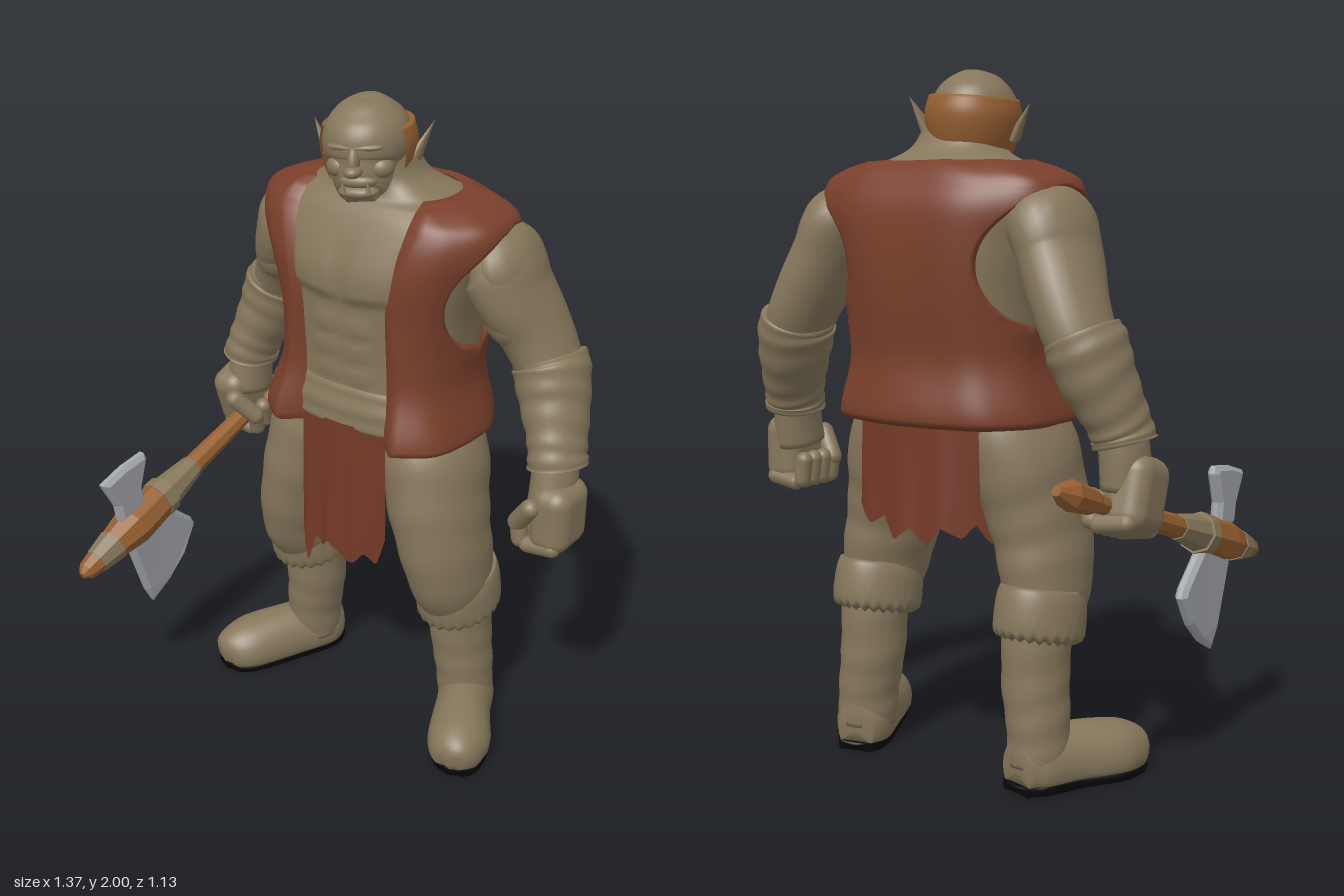
import * as THREE from 'three';
import { mergeGeometries, mergeVertices } from 'three/addons/utils/BufferGeometryUtils.js';
import { RoundedBoxGeometry } from 'three/addons/geometries/RoundedBoxGeometry.js';

const mat = (name, color, side = THREE.FrontSide) => {
  const m = new THREE.MeshStandardMaterial({ color, side });
  m.name = name;
  return m;
};
const skin = mat('skin', 0x86775b);
const leather = mat('red leather', 0x7a402b, THREE.DoubleSide);
const cloth = mat('dark red cloth', 0x743926, THREE.DoubleSide);
const tan = mat('orange brown', 0x966031, THREE.DoubleSide);
const steel = mat('steel', 0xa3a6aa);
const black = mat('black sole', 0x080808);

const V = (x, y, z) => new THREE.Vector3(x, y, z);
const smooth = THREE.MathUtils.smoothstep;

function add(parent, name, geo, material, pos = [0, 0, 0], rot = [0, 0, 0], scale = [1, 1, 1]) {
  const m = new THREE.Mesh(geo, material);
  m.name = name;
  m.position.set(...pos);
  m.rotation.set(...rot);
  m.scale.set(...scale);
  parent.add(m);
  return m;
}
const ball = new THREE.SphereGeometry(1, 24, 16);
const blob = (p, name, pos, scale, rot) => add(p, name, ball, skin, pos, rot, scale);
const group = (parent, name) => {
  const g = new THREE.Group();
  g.name = name;
  parent.add(g);
  return g;
};

// Surface from fn(v, u, row, column), welded at its seams
function grid(fn, rows, cols) {
  const pos = [], idx = [], w = cols + 1;
  for (let j = 0; j <= rows; j++)
    for (let i = 0; i <= cols; i++) pos.push(...fn(j / rows, i / cols, j, i).toArray());
  for (let j = 0; j < rows; j++)
    for (let i = 0; i < cols; i++) {
      const a = j * w + i;
      idx.push(a, a + 1, a + w + 1, a, a + w + 1, a + w);
    }
  let g = new THREE.BufferGeometry();
  g.setAttribute('position', new THREE.Float32BufferAttribute(pos, 3));
  g.setIndex(idx);
  g = mergeVertices(g, 1e-5);
  g.computeVertexNormals();
  return g;
}

const curve = (pts) => new THREE.CatmullRomCurve3(pts, false, 'catmullrom', 0.5);

// Rounded limb through sections [x, y, z, side radius, front radius]; arc limits it to part of the turn
function loft(secs, { ref = V(0, 0, 1), rows = 30, cols = 28, wave = 0, freq = 0, arc = [0, Math.PI * 2], warp } = {}) {
  const path = curve(secs.map((s) => V(s[0], s[1], s[2])));
  const rad = curve(secs.map((s) => V(s[3], s[4], 0)));
  return grid((v, u, j) => {
    const t = THREE.MathUtils.clamp((j - 1) / (rows - 2), 0, 1);
    const along = path.getTangent(t), r = rad.getPoint(t);
    const s = ref.clone().cross(along).normalize(), f = along.clone().cross(s);
    const k = j === 0 || j === rows ? 0 : 1, a = arc[0] + u * arc[1];
    const b = wave * Math.sin(freq * t + 1.5 * Math.sin(a));
    const p = path.getPoint(t).addScaledVector(s, k * (r.x + b) * Math.cos(a))
      .addScaledVector(f, k * (r.y + b) * Math.sin(a));
    if (warp) warp(p, a);
    return p;
  }, rows, cols);
}

// Torso rings: y, centre z, half width, half depth
const rings = [
  [0.90, -0.15, 0.19, 0.14], [0.98, -0.16, 0.27, 0.18], [1.05, -0.17, 0.285, 0.212],
  [1.20, -0.18, 0.275, 0.21], [1.38, -0.185, 0.29, 0.225], [1.52, -0.185, 0.33, 0.23],
  [1.62, -0.19, 0.37, 0.218], [1.685, -0.19, 0.365, 0.19], [1.72, -0.19, 0.30, 0.165],
  [1.745, -0.185, 0.215, 0.138], [1.79, -0.16, 0.13, 0.11], [1.88, -0.13, 0.095, 0.09]];
const mid = curve(rings.map((r) => V(0, r[0], r[1])));
const half = curve(rings.map((r) => V(r[2], 0, r[3])));
const bulge = (v) => Math.sign(v) * Math.abs(v) ** 0.8;
function torsoPoint(t, a, off = 0) {
  const c = mid.getPoint(t), h = half.getPoint(t);
  return V((h.x + off) * bulge(Math.sin(a)),
    c.y + 0.3 * off * smooth(c.y, 1.6, 1.74), c.z + (h.z + off) * bulge(Math.cos(a)));
}
// Chest and belly muscles raised on the front
function relief(x, y) {
  const ax = Math.abs(x), groove = smooth(ax, 0, 0.03), fade = 1 - smooth(ax, 0.13, 0.24);
  const chest = smooth(y, 1.435 + ax * 0.1, 1.475 + ax * 0.1) * (1 - smooth(y, 1.52, 1.66));
  const belly = smooth(y, 1.17, 1.22) * (1 - smooth(y, 1.39, 1.43)) * (1 - smooth(ax, 0.07, 0.12));
  return groove * fade * (0.016 * chest + 0.007 * belly * Math.abs(Math.sin((y - 1.18) * 40)) ** 0.6);
}

function buildTorso(root) {
  const g = group(root, 'torso');
  add(g, 'body', grid((v, u) => {
    const a = u * Math.PI * 2, p = torsoPoint(v, a);
    if (Math.cos(a) > 0) p.z += relief(p.x, p.y);
    return p;
  }, 132, 112), skin);
  add(g, 'waistWrap', grid((v, u) => torsoPoint((2 + v * 0.9) / 11, u * Math.PI * 2,
    0.012 * Math.sin(Math.PI * v) ** 0.4 + 0.002 * Math.sin(v * 14)), 16, 64), skin);
  for (const s of [-1, 1]) {
    blob(g, 'collarbone', [s * 0.095, 1.665, -0.016], [0.1, 0.012, 0.02], [0, s * 0.15, s * 0.22]);
    blob(g, 'trapezius', [s * 0.09, 1.735, -0.21], [0.11, 0.045, 0.08], [0, 0, -s * 0.4]);
  }
}

// Open vest: two fronts and a back, parted by lens-shaped armholes cut deeper behind
function buildVest(root) {
  const C = Math.PI / 2 + 0.14, T = Math.PI * 2;
  const level = (v) => (2 - 0.25 + v * 7.25) / 11;
  const hole = (y) => (y > 1.31 && y < 1.67 ? Math.sqrt(Math.sin(Math.PI * (y - 1.31) / 0.36)) : 0);
  const front = (w) => C - 0.64 * w, rear = (w) => C + 0.8 * w;
  const opening = (t) => {
    const y = mid.getPoint(t).y, x = 0.155 + 0.045 * smooth(y, 1.4, 1.74);
    return Math.asin(Math.min(1, (x / (half.getPoint(t).x + 0.025)) ** 1.25));
  };
  // Rolled edges sit close to the body; openSide marks the column along the front opening
  const panel = (from, to, cols, openSide) => grid((v, u, j, i) => {
    const t = level(v), y = mid.getPoint(t).y, w = hole(y);
    const a = THREE.MathUtils.lerp(from(t, w), to(t, w), u);
    const rim = i === openSide || (w > 0 && (i === 0 || i === cols)) || j === 60;
    const off = 0.024 + 0.036 * (1 - smooth(y, 1.0, 1.24)) + 0.003 * Math.sin(a * 9 + y * 5)
      + 0.024 * Math.max(0, Math.cos(a)) * (1 - smooth(y, 1.1, 1.5));
    return torsoPoint(t, a, rim ? 0.004 : j === 0 ? off - 0.015 : off);
  }, 60, cols);
  const geo = mergeVertices(mergeGeometries([
    panel((t) => opening(t), (t, w) => front(w), 16, 0),
    panel((t, w) => rear(w), (t, w) => T - rear(w), 40, -1),
    panel((t, w) => T - front(w), (t) => T - opening(t), 16, 16)].map((p) => p.deleteAttribute('normal'))), 1e-4);
  geo.computeVertexNormals();
  add(root, 'vest', geo, leather);
}

// Hanging cloth with a torn hem, bowed around the hips
function buildCloth(root, name, width, z, bow, hem) {
  const edge = (u) => {
    const k = Math.min(u * (hem.length - 1), hem.length - 1.001), i = Math.floor(k);
    return THREE.MathUtils.lerp(hem[i], hem[i + 1], k - i);
  };
  add(root, name, grid((v, u) => {
    const fold = 0.008 * Math.sin(u * 19) * (1 - v) + bow * Math.sin(Math.PI * u) * (1 - 0.3 * v);
    return V((u - 0.5) * width * (1 + 0.04 * (1 - v)), THREE.MathUtils.lerp(edge(u), 1.07, v),
      z + Math.sign(z) * fold);
  }, 14, 44), cloth);
}

function buildHead(root) {
  const g = group(root, 'head');
  g.position.set(-0.018, 1.855, -0.11);
  g.rotation.set(0, 0.34, 0.06);
  add(g, 'skull', loft([
    [0, -0.14, 0.075, 0.045, 0.045], [0, -0.12, 0.055, 0.076, 0.083], [0, -0.08, 0.03, 0.098, 0.112],
    [0, -0.03, 0.004, 0.115, 0.135], [0, 0.03, -0.003, 0.125, 0.146], [0, 0.08, -0.01, 0.11, 0.128],
    [0, 0.115, -0.013, 0.082, 0.095], [0, 0.136, -0.015, 0.049, 0.057], [0, 0.145, -0.015, 0.014, 0.016]],
  { rows: 40, cols: 36 }), skin);
  // Hair around the sides and back, with sideburns reaching down the jaw
  add(g, 'hair', loft([[0, -0.085, -0.012, 0.112, 0.128], [0, -0.04, -0.012, 0.127, 0.146],
    [0, 0.02, -0.012, 0.136, 0.156], [0, 0.07, -0.012, 0.126, 0.146]],
  { rows: 20, cols: 40, arc: [Math.PI - 0.42, Math.PI + 0.84] }), tan);
  blob(g, 'brow', [0, 0.036, 0.116], [0.08, 0.014, 0.027]);
  blob(g, 'noseBridge', [0, 0.0, 0.138], [0.017, 0.042, 0.024], [-0.25, 0, 0]);
  blob(g, 'nose', [0, -0.025, 0.148], [0.026, 0.018, 0.03]);
  blob(g, 'upperLip', [0, -0.062, 0.106], [0.055, 0.022, 0.03]);
  blob(g, 'lowerLip', [0, -0.092, 0.108], [0.058, 0.02, 0.034]);
  for (const s of [-1, 1]) {
    blob(g, 'cheek', [s * 0.062, -0.03, 0.084], [0.035, 0.03, 0.03], [0, s * 0.5, 0]);
    add(g, 'tusk', new THREE.ConeGeometry(0.008, 0.04, 10), skin, [s * 0.036, -0.07, 0.134]);
    add(g, 'ear', new THREE.ConeGeometry(0.036, 0.115, 16), skin,
      [s * 0.15, 0.015, -0.045], [-0.4, 0, -s * 0.45], [0.5, 1, 1]);
  }
}

function buildFist(parent, s, pos, tilt) {
  const g = group(parent, s > 0 ? 'leftFist' : 'rightFist');
  g.position.set(...pos);
  g.rotation.x = tilt;
  add(g, 'palm', new RoundedBoxGeometry(0.125, 0.21, 0.175, 5, 0.05), skin, [s * 0.025, 0.01, 0]);
  for (let i = 0; i < 4; i++) {
    const z = -0.067 + i * 0.043;
    add(g, 'knuckle', new THREE.CapsuleGeometry(0.026, 0.08, 6, 12), skin,
      [s * 0.005, -0.078, z], [0, 0, Math.PI / 2 + s * 0.15]);
    add(g, 'finger', new THREE.CapsuleGeometry(0.026, 0.06, 6, 12), skin, [-s * 0.065, -0.045, z], [0, 0, s * 0.15]);
  }
  add(g, 'thumb', new THREE.CapsuleGeometry(0.029, 0.09, 6, 12), skin, [-s * 0.045, 0.015, 0.075], [0.3, 0, -s * 0.6]);
}

function buildArm(root, s) {
  const g = group(root, s > 0 ? 'leftArm' : 'rightArm');
  // The right arm hangs further back
  const back = (y) => (s < 0 ? 0.065 * Math.max(0, (1.5 - y) / 0.6) : 0);
  const place = (secs) => secs.map(([x, y, z, a, b]) => [s * x, y, z - back(y), a, b]);
  add(g, 'upperArm', loft(place([
    [0.29, 1.62, -0.21, 0.08, 0.11], [0.35, 1.575, -0.23, 0.106, 0.148], [0.39, 1.49, -0.245, 0.1, 0.148],
    [0.44, 1.39, -0.275, 0.096, 0.128], [0.49, 1.29, -0.285, 0.09, 0.115], [0.52, 1.22, -0.27, 0.09, 0.1]])), skin);
  blob(g, 'deltoid', [s * 0.385, 1.57, -0.23], [0.078, 0.115, 0.14], [0, 0, s * 0.3]);
  blob(g, 'biceps', [s * 0.405, 1.44, -0.19], [0.075, 0.1, 0.07], [0, 0, s * 0.45]);
  add(g, 'bracer', loft(place([
    [0.494, 1.3, -0.285, 0.098, 0.116], [0.508, 1.268, -0.28, 0.108, 0.122], [0.535, 1.19, -0.26, 0.1, 0.114],
    [0.57, 1.1, -0.225, 0.084, 0.102], [0.587, 1.045, -0.205, 0.08, 0.098], [0.594, 1.015, -0.2, 0.085, 0.1]]),
  { rows: 44, wave: 0.002, freq: 38 }), skin);
  add(g, 'wrist', loft(place([
    [0.585, 1.04, -0.2, 0.065, 0.075], [0.592, 0.98, -0.19, 0.065, 0.08], [0.595, 0.9, -0.175, 0.065, 0.085]]),
  { rows: 12 }), skin);
  buildFist(g, s, [s * 0.597, 0.868, -0.17 - back(0.868)], s > 0 ? 0 : 0.3);
}

function buildLeg(root, s) {
  const g = group(root, s > 0 ? 'leftLeg' : 'rightLeg');
  const place = (secs) => secs.map(([x, ...r]) => [s * x, ...r]);
  add(g, 'thigh', loft(place([
    [0.15, 1.06, -0.165, 0.13, 0.17], [0.205, 0.95, -0.15, 0.148, 0.187], [0.237, 0.82, -0.13, 0.14, 0.182],
    [0.265, 0.7, -0.125, 0.128, 0.172], [0.285, 0.58, -0.14, 0.118, 0.16], [0.29, 0.46, -0.17, 0.1, 0.125]]),
  { rows: 40, wave: 0.0015, freq: 30 }), skin);
  // Fur cuff with a jagged hem
  add(g, 'furCuff', loft(place([
    [0.29, 0.565, -0.165, 0.11, 0.14], [0.29, 0.53, -0.172, 0.12, 0.148], [0.29, 0.475, -0.18, 0.124, 0.15],
    [0.29, 0.435, -0.187, 0.122, 0.143], [0.29, 0.42, -0.19, 0.1, 0.115]]),
  { rows: 14, cols: 96, warp: (p, a) => { if (p.y < 0.5) p.y += 0.006 * Math.cos(24 * a); } }), skin);
  add(g, 'bootShaft', loft(place([
    [0.29, 0.45, -0.195, 0.096, 0.11], [0.292, 0.3, -0.205, 0.093, 0.105],
    [0.305, 0.18, -0.21, 0.087, 0.1], [0.31, 0.07, -0.215, 0.085, 0.095]]),
  { wave: 0.0012, freq: 24 }), skin);
  const foot = place([
    [0.29, 0.06, -0.3, 0.055, 0.08], [0.305, 0.065, -0.24, 0.085, 0.1], [0.355, 0.065, -0.13, 0.088, 0.105],
    [0.41, 0.06, -0.03, 0.098, 0.1], [0.437, 0.058, 0.025, 0.092, 0.09], [0.462, 0.055, 0.07, 0.066, 0.068],
    [0.472, 0.05, 0.093, 0.025, 0.032]]);
  const clampY = (lo, hi) => ({ ref: V(0, 1, 0), warp: (p) => { p.y = THREE.MathUtils.clamp(p.y, lo, hi); } });
  add(g, 'foot', loft(foot, clampY(0.024, 1)), skin);
  add(g, 'sole', loft(foot.map(([x, y, z, a, b]) => [x, y - 0.045, z - 0.006, a * 0.9, b]), clampY(0, 0.026)), black);
}

function buildAxe(root) {
  const g = group(root, 'axe');
  const tail = V(-0.575, 0.935, -0.56), dir = V(-0.595, 0.57, 0.56).sub(tail).normalize();
  const shaft = group(g, 'shaft');
  shaft.position.copy(tail);
  shaft.quaternion.setFromUnitVectors(V(0, 1, 0), dir);
  // Start, end, start radius, end radius, material
  [['pommel', 0, 0.065, 0.014, 0.042, tan], ['pommel', 0.065, 0.17, 0.042, 0.036, tan],
    ['pommel', 0.17, 0.2, 0.036, 0.025, tan], ['handle', 0.2, 0.67, 0.025, 0.035, tan],
    ['collar', 0.66, 0.79, 0.038, 0.055, skin], ['collar', 0.79, 0.83, 0.062, 0.064, skin],
    ['axeSocket', 0.83, 0.95, 0.06, 0.066, tan], ['axeSocket', 0.95, 1.04, 0.066, 0.05, tan],
    ['frontCollar', 1.04, 1.12, 0.053, 0.04, skin], ['tip', 1.12, 1.165, 0.038, 0.03, tan],
    ['tip', 1.165, 1.185, 0.03, 0.012, tan]].forEach(([name, a, b, r0, r1, m]) => {
    const geo = new THREE.CylinderGeometry(r1, r0, b - a, 8).toNonIndexed();
    geo.computeVertexNormals();
    add(shaft, name, geo, m, [0, (a + b) / 2, 0]);
  });
  // Blades drawn in z and y, turned to face sideways and thinned toward the edge
  const blade = (name, pts) => {
    const geo = new THREE.ExtrudeGeometry(new THREE.Shape(pts.map((p) => new THREE.Vector2(...p))), {
      depth: 0.016, bevelThickness: 0.012, bevelSize: 0.014, bevelOffset: -0.014, bevelSegments: 1 });
    geo.translate(0, 0, -0.008).rotateY(-Math.PI / 2);
    const p = geo.attributes.position;
    for (let i = 0; i < p.count; i++)
      p.setX(i, p.getX(i) * (1 - 0.5 * smooth(Math.abs(p.getY(i) - 0.66), 0.2, 0.36)));
    geo.computeVertexNormals();
    add(g, name, geo, steel, [-0.594, 0, 0]);
  };
  blade('smallBlade', [[0.40, 0.68], [0.41, 0.74], [0.46, 0.835], [0.37, 0.862], [0.28, 0.873], [0.27, 0.85],
    [0.3, 0.76], [0.29, 0.68]]);
  blade('largeBlade', [[0.37, 0.66], [0.37, 0.57], [0.31, 0.38], [0.28, 0.322], [0.2, 0.365], [0.13, 0.43],
    [0.075, 0.52], [0.09, 0.55], [0.185, 0.635], [0.22, 0.68]]);
}

export function createModel() {
  const root = new THREE.Group();
  root.name = 'axeWarrior';
  buildTorso(root);
  buildVest(root);
  buildHead(root);
  buildCloth(root, 'frontCloth', 0.3, 0.03, 0.035, [0.66, 0.535, 0.645, 0.62, 0.66, 0.63, 0.6, 0.61, 0.65, 0.61, 0.71]);
  buildCloth(root, 'backCloth', -0.4, -0.355, 0.05, [0.78, 0.73, 0.76, 0.7, 0.74, 0.69, 0.75, 0.72, 0.8]);
  for (const s of [-1, 1]) {
    buildArm(root, s);
    buildLeg(root, s);
  }
  buildAxe(root);
  return root;
}
